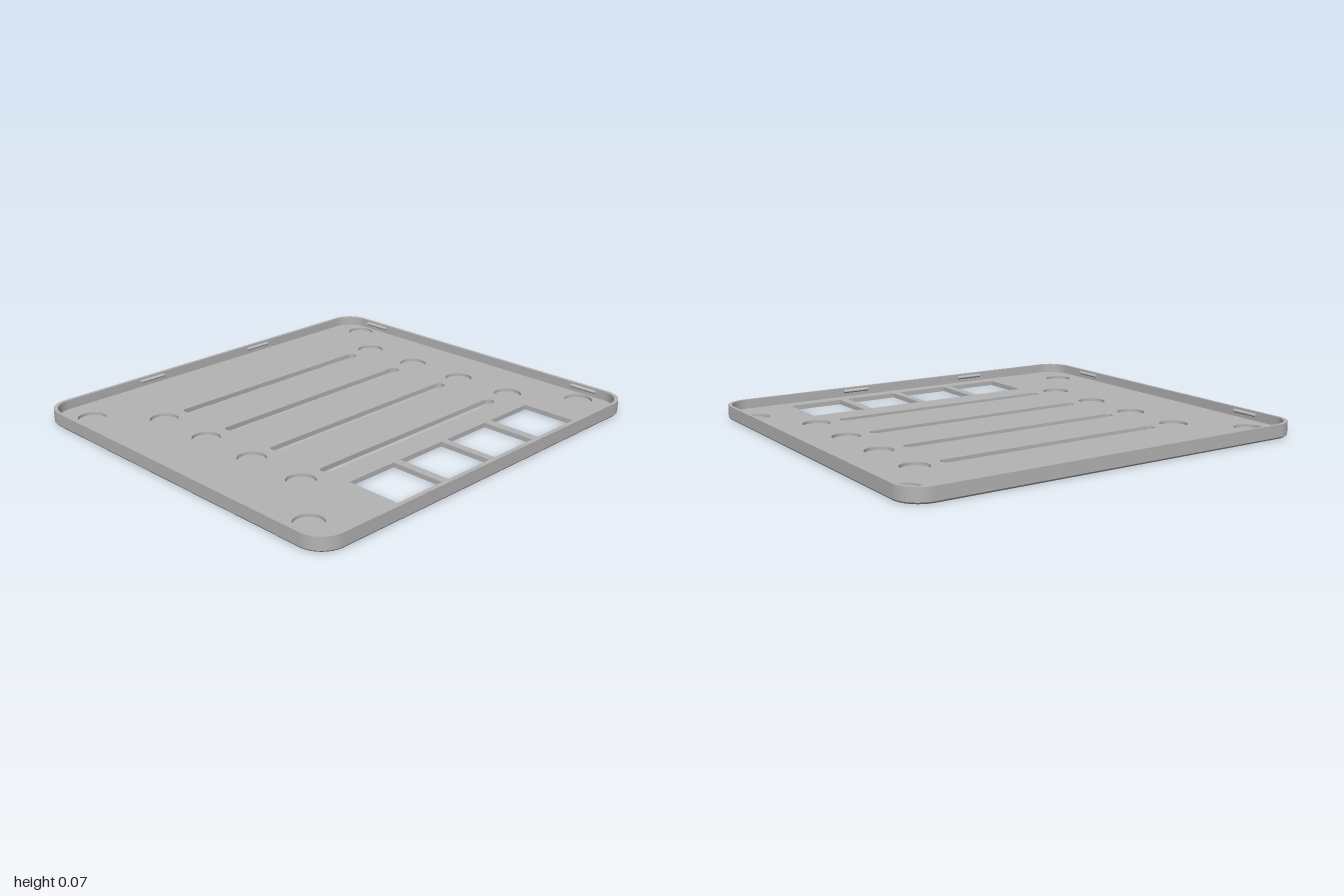
import * as THREE from 'three';
import { toCreasedNormals } from 'three/addons/utils/BufferGeometryUtils.js';

const HALF_X = 0.915, HALF_Z = 1, RADIUS = 0.115, WALL = 0.015;
const CHAMFER_TOP = 0.008, FLOOR_TOP = 0.022, RIM_TOP = 0.066;
const COLUMNS = [-0.493, -0.19, 0.115, 0.42];

// Rounded rectangle in plan; the shape's y stands for z
function roundedRect(target, cx, cz, hx, hz, r) {
  const x0 = cx - hx, x1 = cx + hx, z0 = cz - hz, z1 = cz + hz;
  target.moveTo(x0 + r, z0);
  target.lineTo(x1 - r, z0);
  target.absarc(x1 - r, z0 + r, r, -Math.PI / 2, 0);
  target.lineTo(x1, z1 - r);
  target.absarc(x1 - r, z1 - r, r, 0, Math.PI / 2);
  target.lineTo(x0 + r, z1);
  target.absarc(x0 + r, z1 - r, r, Math.PI / 2, Math.PI);
  target.lineTo(x0, z0 + r);
  target.absarc(x0 + r, z0 + r, r, Math.PI, Math.PI * 1.5);
  return target;
}

const outline = () => roundedRect(new THREE.Shape(), 0, 0, HALF_X, HALF_Z, RADIUS);

// Extrude a plan shape between two heights
function slab(shape, y0, y1) {
  const g = new THREE.ExtrudeGeometry(shape, { depth: y1 - y0, bevelEnabled: false, curveSegments: 16 });
  g.rotateX(Math.PI / 2);
  g.translate(0, y1, 0);
  return g;
}

// Long slots and square windows that pass right through
function addThroughHoles(shape) {
  for (const x of COLUMNS) {
    shape.holes.push(roundedRect(new THREE.Path(), x, -0.047, 0.026, 0.563, 0.0255));
  }
  for (const z of [-0.54, -0.233, 0.069, 0.375]) {
    const h = 0.1325, x = 0.703;
    shape.holes.push(new THREE.Path([[-h, -h], [h, -h], [h, h], [-h, h]].map(
      ([a, b]) => new THREE.Vector2(x + a, z + b))));
  }
  return shape;
}

export function createModel() {
  const group = new THREE.Group();
  const grey = new THREE.MeshStandardMaterial({ color: 0xb4b4b4 });
  grey.name = 'grey plastic';
  const add = (name, geometry) => {
    const mesh = new THREE.Mesh(toCreasedNormals(geometry, 0.5), grey);
    mesh.name = name;
    group.add(mesh);
    return mesh;
  };

  // Base sheet, its outer lower edge drawn in to a small chamfer
  const base = slab(addThroughHoles(outline()), 0, CHAMFER_TOP);
  const p = base.attributes.position;
  for (let i = 0; i < p.count; i++) {
    const x = p.getX(i), z = p.getZ(i);
    if (p.getY(i) < 0.001 && (Math.abs(x) > 0.85 || Math.abs(z) > 0.95)) {
      p.setX(i, x * (1 - 0.006 / HALF_X));
      p.setZ(i, z * (1 - 0.006 / HALF_Z));
    }
  }
  add('baseSheet', base);

  // Floor with shallow round pockets
  const floor = addThroughHoles(outline());
  const pockets = [];
  for (const x of COLUMNS) pockets.push([x, -0.73], [x, 0.635]);
  for (const x of [-0.74, 0.703]) pockets.push([x, -0.91], [x, 0.86]);
  for (const [x, z] of pockets) {
    floor.holes.push(new THREE.Path().absarc(x, z, 0.065, 0, Math.PI * 2));
  }
  add('pocketedFloor', slab(floor, CHAMFER_TOP, FLOOR_TOP));

  // Raised rim
  const rim = outline();
  rim.holes.push(roundedRect(new THREE.Path(), 0, 0, HALF_X - WALL, HALF_Z - WALL, 0.11));
  add('rim', slab(rim, FLOOR_TOP, RIM_TOP));

  // Snap ridges on the inner faces of the rim: a small wedge profile
  const ridge = new THREE.Shape([[0, -0.009], [0.009, -0.002], [0.009, 0.002], [0, 0.009]].map(
    ([a, b]) => new THREE.Vector2(a, b)));
  const snap = (x, z, turn) => {
    const g = new THREE.ExtrudeGeometry(ridge, { depth: 0.14, bevelEnabled: false });
    g.translate(0, 0, -0.07);
    const mesh = add('snapRidge', g);
    mesh.position.set(x, 0.048, z);
    mesh.rotation.y = turn;
  };
  const inX = HALF_X - WALL, inZ = HALF_Z - WALL;
  for (const z of [-0.285, 0.4]) {
    snap(-inX, z, 0);
    snap(inX, z, Math.PI);
  }
  for (const x of [-0.6, 0.59]) snap(x, inZ, Math.PI / 2);
  for (const x of [-0.685, 0.68]) snap(x, -inZ, -Math.PI / 2);

  return group;
}
